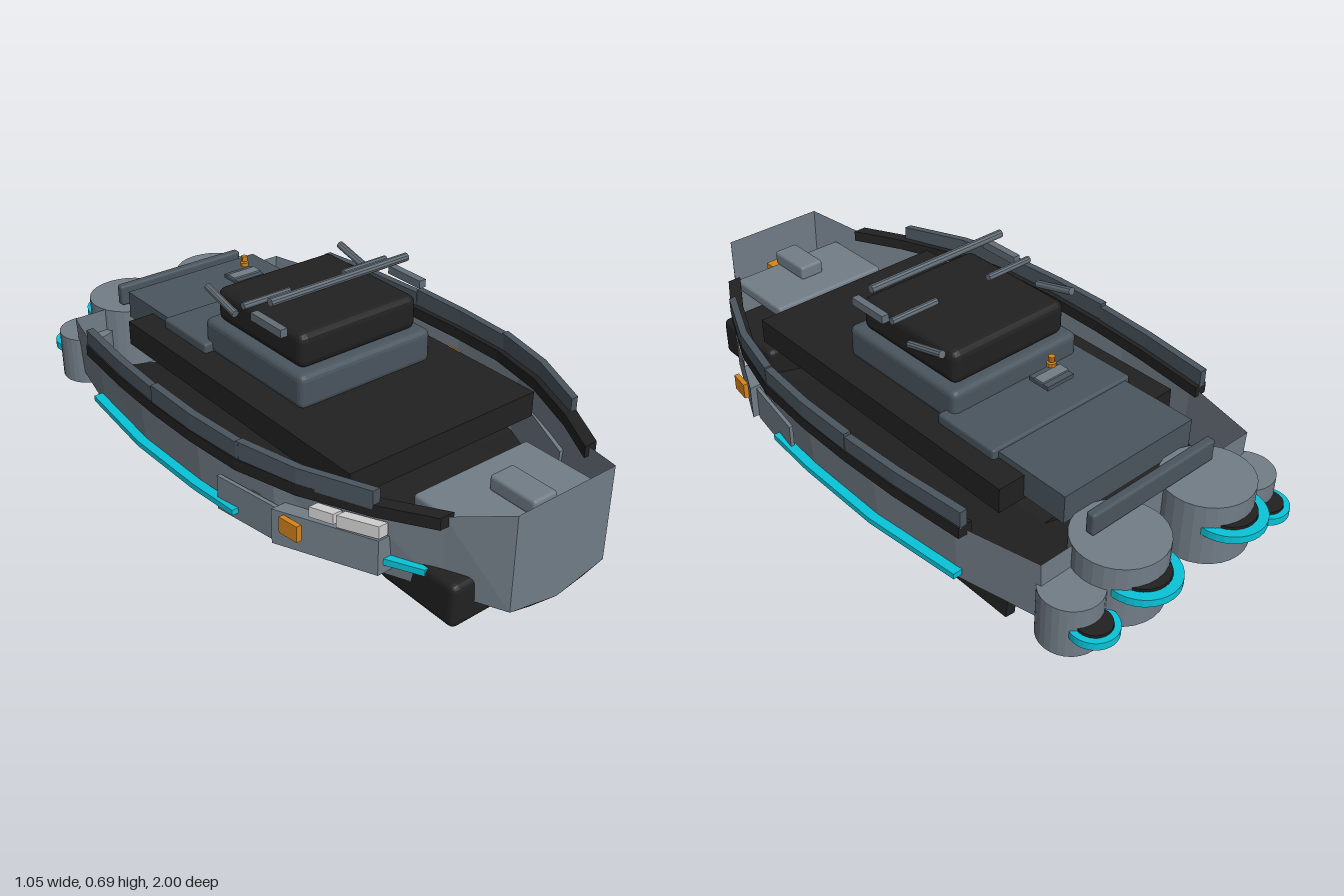
import * as THREE from 'three';
import { RoundedBoxGeometry } from 'three/addons/geometries/RoundedBoxGeometry.js';

const mat = (name, color) => {
  const m = new THREE.MeshStandardMaterial({ color, side: THREE.DoubleSide, flatShading: true });
  m.name = name;
  return m;
};

export function createModel() {
  const root = new THREE.Group();
  root.name = 'patrolBoat';
  const grey = mat('hullGrey', 0x727d87);
  const dark = mat('slateGrey', 0x4a555e);
  const steel = mat('steelGrey', 0x636e77);
  const black = mat('black', 0x212121);
  const teal = mat('teal', 0x08c4d9);
  const orange = mat('orange', 0xd5851a);
  const white = mat('lampWhite', 0xcfcfcf);

  const add = (name, geo, m, x = 0, y = 0, z = 0) => {
    const mesh = new THREE.Mesh(geo, m);
    mesh.name = name;
    mesh.position.set(x, y, z);
    root.add(mesh);
    return mesh;
  };
  // box from its limits, optionally with rounded edges
  const box = (name, m, x0, x1, y0, y1, z0, z1, r = 0) => add(name,
    r ? new RoundedBoxGeometry(x1 - x0, y1 - y0, z1 - z0, 2, r) : new THREE.BoxGeometry(x1 - x0, y1 - y0, z1 - z0),
    m, (x0 + x1) / 2, (y0 + y1) / 2, (z0 + z1) / 2);

  // skin over rows of points; closed rows get end caps
  const loft = (rows, closed = false) => {
    const p = [];
    const n = rows[0].length;
    for (let i = 0; i + 1 < rows.length; i++) {
      for (let j = 0; j < (closed ? n : n - 1); j++) {
        const k = (j + 1) % n;
        const a = rows[i][j], b = rows[i][k], c = rows[i + 1][k], d = rows[i + 1][j];
        p.push(...a, ...b, ...c, ...a, ...c, ...d);
      }
    }
    if (closed) {
      for (let j = 1; j + 1 < n; j++) {
        const e = rows[rows.length - 1];
        p.push(...rows[0][0], ...rows[0][j + 1], ...rows[0][j], ...e[0], ...e[j], ...e[j + 1]);
      }
    }
    const g = new THREE.BufferGeometry();
    g.setAttribute('position', new THREE.Float32BufferAttribute(p, 3));
    g.computeVertexNormals();
    return g;
  };
  // rectangular bar along [z, x, y] points
  const bar = (name, m, pts, w, h, s) => add(name, loft(pts.map(([z, x, y]) => [
    [s * (x + w / 2), y - h / 2, z], [s * (x + w / 2), y + h / 2, z],
    [s * (x - w / 2), y + h / 2, z], [s * (x - w / 2), y - h / 2, z]]), true), m);

  // open hull stations: z, half width at sheer, sheer height, half width at chine, V half width, keel height
  const stations = [
    [1, 0.175, 0.43, 0.175, 0.1, 0.10], [0.84, 0.262, 0.375, 0.25, 0.2, 0.082],
    [0.62, 0.375, 0.36, 0.35, 0.29, 0.055], [0.4, 0.462, 0.345, 0.45, 0.31, 0.04],
    [0.1, 0.505, 0.335, 0.49, 0.31, 0.035], [-0.2, 0.505, 0.33, 0.49, 0.31, 0.035],
    [-0.5, 0.472, 0.33, 0.46, 0.31, 0.033], [-0.76, 0.41, 0.33, 0.40, 0.31, 0.03],
  ];
  const CH = 0.135;
  for (const s of [1, -1]) {
    add('hullSide', loft(stations.map(([z, xt, yt, xb]) => [[s * xb, CH, z], [s * xt, yt, z]])), grey);
    add('hullBottom', loft(stations.map(([z, , , xb, vx, ky]) =>
      [[s * xb, CH, z], [s * vx, z === 1 ? 0.117 : 0.128, z], [0, ky, z]])), black);
  }

  // flat faces closing bow and stern
  const plate = (name, pts, z, m) => add(name,
    new THREE.ShapeGeometry(new THREE.Shape(pts.map(([x, y]) => new THREE.Vector2(x, y)))), m, 0, 0, z);
  plate('bowPlate', [[-0.175, 0.43], [-0.175, CH], [0, 0.10], [0.175, CH], [0.175, 0.43]], 1, grey);
  plate('transom', [[-0.41, 0.33], [-0.4, CH], [-0.31, 0.128], [0, 0.03], [0.31, 0.128], [0.4, CH], [0.41, 0.33]], -0.76, grey);

  // keel, bow fender and bow fittings
  box('keel', black, -0.2, 0.2, 0, 0.055, -0.44, 0.64);
  box('bowFender', black, -0.288, 0.288, 0.075, 0.21, 0.63, 0.915, 0.02);
  box('bowLocker', grey, -0.21, 0.21, 0.29, 0.33, 0.67, 0.925, 0.01);
  box('bowWinch', grey, -0.043, 0.043, 0.325, 0.375, 0.775, 0.935, 0.01);
  box('bowMarker', orange, -0.055, 0.055, 0.295, 0.315, 0.92, 0.975);

  // raised deck and cabin
  box('deckPlatform', black, -0.34, 0.34, 0.31, 0.39, -0.53, 0.57);
  box('aftDeckhouse', dark, -0.25, 0.25, 0.32, 0.41, -0.68, -0.43);
  box('deckhouseStep', dark, -0.27, 0.27, 0.33, 0.42, -0.43, -0.2, 0.008);
  box('cabinBase', dark, -0.242, 0.242, 0.38, 0.49, -0.24, 0.24, 0.02);
  box('cabinTop', black, -0.215, 0.215, 0.485, 0.595, -0.21, 0.205, 0.025);
  box('sternRail', dark, -0.24, 0.24, 0.33, 0.40, -0.775, -0.745, 0.008);

  // round bar between two points
  const rod = (name, a, b, r) => {
    const A = new THREE.Vector3(...a), B = new THREE.Vector3(...b);
    const m = add(name, new THREE.CylinderGeometry(r, r, A.distanceTo(B), 10), steel);
    m.position.copy(A).lerp(B, 0.5);
    m.quaternion.setFromUnitVectors(new THREE.Vector3(0, 1, 0), B.sub(A).normalize());
  };
  rod('roofBar', [-0.25, 0.674, 0.11], [0.25, 0.674, 0.11], 0.013);

  // beacon
  box('beaconPlate', dark, -0.05, 0.05, 0.503, 0.516, -0.41, -0.335);
  box('beaconPad', grey, -0.05, 0.05, 0.514, 0.521, -0.39, -0.355);
  add('beaconBase', new THREE.CylinderGeometry(0.014, 0.014, 0.012, 10), orange, 0, 0.552, -0.37);
  add('beaconCap', new THREE.CylinderGeometry(0.01, 0.01, 0.016, 10), orange, 0, 0.57, -0.37);

  // flat ring lying level
  const flatRing = (inner, outer, h) => new THREE.LatheGeometry(
    [[inner, -h / 2], [outer, -h / 2], [outer, h / 2], [inner, h / 2], [inner, -h / 2]].map(([x, y]) => new THREE.Vector2(x, y)), 32);

  const rail = [[0.85, 0.262, 0.367], [0.7, 0.35, 0.362], [0.5, 0.44, 0.356], [0.3, 0.49, 0.35],
    [0.1, 0.502, 0.345], [-0.1, 0.502, 0.341], [-0.3, 0.492, 0.337], [-0.54, 0.468, 0.333]];
  const upper = [
    [[0.7, 0.362, 0.395], [0.5, 0.45, 0.395], [0.3, 0.497, 0.395]],
    [[0.31, 0.495, 0.39], [0.1, 0.51, 0.388], [-0.1, 0.51, 0.388]],
    [[-0.1, 0.508, 0.378], [-0.3, 0.498, 0.376], [-0.54, 0.473, 0.373]],
  ];
  for (const s of [1, -1]) {
    // gunwale rails
    bar('rubRail', black, rail, 0.045, 0.036, s);
    upper.forEach((seg) => bar('bulwarkRail', dark, seg, 0.024, 0.055, s));
    // armour lining and side panels
    bar('innerArmour', grey, [[0.35, 0.445, 0.205], [0.1, 0.462, 0.205], [-0.2, 0.462, 0.205], [-0.43, 0.447, 0.205]], 0.045, 0.11, s);
    bar('sidePanel', grey, [[0.71, 0.335, 0.215], [0.43, 0.465, 0.215]], 0.05, 0.11, s);
    bar('midPanel', grey, [[0.43, 0.462, 0.205], [0.2, 0.5, 0.205]], 0.012, 0.11, s);
    // lamps, markers and stripes
    bar('headlamp', white, [[0.71, 0.345, 0.295], [0.605, 0.398, 0.295]], 0.03, 0.038, s);
    bar('headlamp', white, [[0.595, 0.4, 0.296], [0.53, 0.428, 0.296]], 0.03, 0.032, s);
    bar('sideMarker', orange, [[0.53, 0.475, 0.24], [0.465, 0.484, 0.24]], 0.016, 0.05, s);
    bar('innerMarker', orange, [[0.13, 0.478, 0.26], [0.07, 0.478, 0.26]], 0.015, 0.05, s);
    bar('sideStripe', teal, [[0.28, 0.498, 0.182], [0.1, 0.508, 0.176], [-0.2, 0.508, 0.17], [-0.52, 0.475, 0.167]], 0.03, 0.018, s);
    bar('bowStripe', teal, [[0.81, 0.278, 0.196], [0.7, 0.335, 0.196]], 0.025, 0.02, s);
    // stabiliser fin
    const fin = add('fin', new THREE.BoxGeometry(0.033, 0.09, 0.2), black, s * 0.395, 0.106, -0.545);
    fin.rotation.z = s * 0.1;
    // roof fittings
    box('roofStrip', steel, s * 0.255 - 0.012, s * 0.255 + 0.012, 0.597, 0.622, 0.04, 0.18);
    rod('roofStrut', [s * 0.25, 0.572, -0.06], [s * 0.25, 0.608, -0.2], 0.012);
    rod('roofCrossbar', [s * 0.1, 0.625, 0], [s * 0.265, 0.625, 0], 0.011);
    // engine pods with thruster rings: x, radius, bottom, top, ring height, ring radius, ring z
    for (const [x, r, y0, y1, ry, rr, rz] of [
      [0.175, 0.135, 0.13, 0.33, 0.248, 0.11, -0.89], [0.348, 0.09, 0.095, 0.255, 0.176, 0.07, -0.893]]) {
      add('enginePod', new THREE.CylinderGeometry(r, r, y1 - y0, 28), grey, s * x, (y0 + y1) / 2, -0.81);
      add('thrusterRing', flatRing(rr * 0.74, rr, 0.024), teal, s * x, ry, rz);
      add('thrusterCore', new THREE.CylinderGeometry(rr * 0.73, rr * 0.73, 0.04, 24), black, s * x, ry, rz);
    }
  }
  return root;
}
